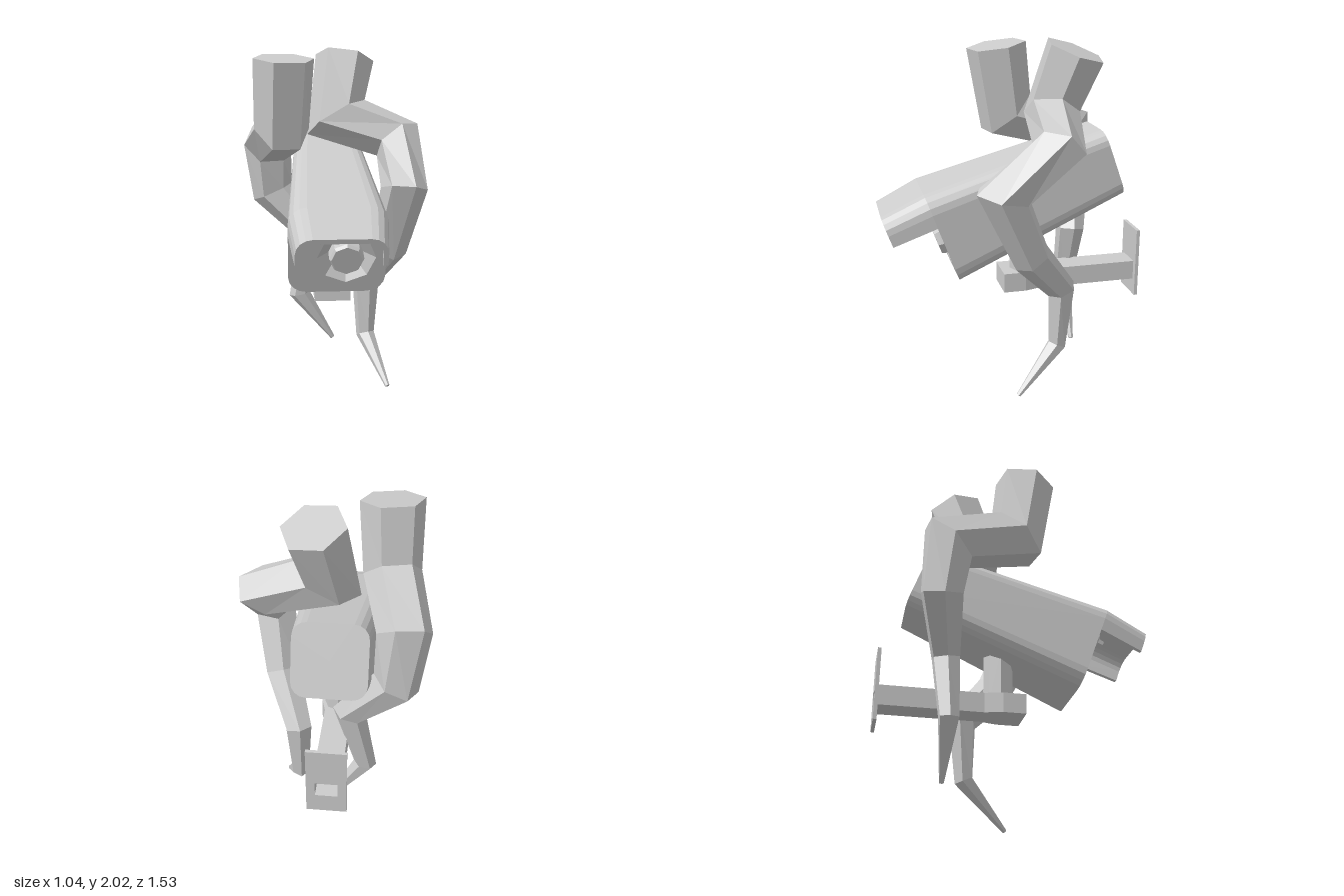
import * as THREE from 'three';

const grey = new THREE.MeshStandardMaterial({ color: 0xcccccc, flatShading: true });
const greyBoth = new THREE.MeshStandardMaterial({ color: 0xcccccc, flatShading: true, side: THREE.DoubleSide });

function add(parent, name, geometry, material = grey) {
  const mesh = new THREE.Mesh(geometry, material);
  mesh.name = name;
  parent.add(mesh);
  return mesh;
}

// Skins a list of rings (each counter-clockwise around the travel direction)
function loft(rings, capStart = true, capEnd = true) {
  const pos = [];
  const tri = (...pts) => pts.forEach((p) => pos.push(p.x, p.y, p.z));
  const n = rings[0].length;
  const centre = (ring) => ring.reduce((s, p) => s.add(p), new THREE.Vector3()).divideScalar(n);
  const first = rings[0], last = rings[rings.length - 1];
  const c0 = centre(first), c1 = centre(last);
  for (let k = 0; k < n; k++) {
    const j = (k + 1) % n;
    for (let i = 0; i < rings.length - 1; i++) {
      const a = rings[i], b = rings[i + 1];
      tri(a[k], a[j], b[k]);
      tri(a[j], b[j], b[k]);
    }
    if (capStart) tri(c0, first[j], first[k]);
    if (capEnd) tri(c1, last[k], last[j]);
  }
  const g = new THREE.BufferGeometry();
  g.setAttribute('position', new THREE.Float32BufferAttribute(pos, 3));
  g.computeVertexNormals();
  return g;
}

// Six-sided limb through joints [x, y, z, radius], mitred at the bends
function limb(joints, turn) {
  const pts = joints.map((j) => new THREE.Vector3(j[0], j[1], j[2]));
  const dirs = pts.slice(1).map((p, i) => p.clone().sub(pts[i]).normalize());
  const u = new THREE.Vector3(Math.cos(turn), 0, Math.sin(turn));
  let prev = null;
  const rings = pts.map((p, i) => {
    const a = dirs[Math.max(i - 1, 0)], b = dirs[Math.min(i, dirs.length - 1)];
    const t = a.clone().add(b).normalize();
    if (prev) u.applyQuaternion(new THREE.Quaternion().setFromUnitVectors(prev, t));
    u.addScaledVector(t, -u.dot(t)).normalize();
    prev = t;
    const w = t.clone().cross(u);
    const bend = b.clone().sub(a);
    if (bend.length() > 1e-4) bend.normalize();
    const stretch = Math.min(1 / t.dot(a), 1.4) - 1;
    return Array.from({ length: 6 }, (_, k) => {
      const ang = k * Math.PI / 3;
      const o = u.clone().multiplyScalar(Math.cos(ang)).addScaledVector(w, Math.sin(ang)).multiplyScalar(joints[i][3]);
      return o.addScaledVector(bend, o.dot(bend) * stretch).add(p);
    });
  });
  return loft(rings);
}

// Rounded rectangle outline, counter-clockwise from the right side
function roundedRect(hw, hh, r, seg = 4) {
  const out = [];
  [[1, 1], [-1, 1], [-1, -1], [1, -1]].forEach(([sx, sy], q) => {
    for (let i = 0; i <= seg; i++) {
      const a = (q + i / seg) * Math.PI / 2;
      out.push(new THREE.Vector2(sx * (hw - r) + r * Math.cos(a), sy * (hh - r) + r * Math.sin(a)));
    }
  });
  return out;
}

function rectShape(x0, y0, x1, y1) {
  return new THREE.Shape([[x0, y0], [x1, y0], [x1, y1], [x0, y1]].map((p) => new THREE.Vector2(...p)));
}

function extrude(shape, depth, z) {
  return new THREE.ExtrudeGeometry(shape, { depth, bevelEnabled: false }).translate(0, 0, z);
}

function createCameraHead() {
  const head = new THREE.Group();
  head.name = 'cameraHead';
  const L = 1.066;
  const ring = (hw, hh, r, z) => roundedRect(hw, hh, r).map((p) => new THREE.Vector3(p.x, p.y, z));
  add(head, 'housing', loft([ring(0.2, 0.2, 0.08, 0), ring(0.265, 0.27, 0.1, L)], true, false));

  // Front plate with an eight-sided opening for the lens
  const lx = 0.05, ly = -0.048, lr = 0.16;
  const face = new THREE.Shape(roundedRect(0.265, 0.27, 0.1));
  face.holes.push(new THREE.Path(Array.from({ length: 8 }, (_, k) => {
    const a = -k * Math.PI / 4;
    return new THREE.Vector2(lx + lr * Math.cos(a), ly + lr * Math.sin(a));
  })));
  add(head, 'frontPlate', new THREE.ShapeGeometry(face).translate(0, 0, L));

  // Recess dish with the lens barrel standing in it
  const profile = [[0, 0.03], [0.085, 0.03], [0.095, 0.01], [0.095, -0.06], [lr, 0]];
  const dish = new THREE.LatheGeometry(profile.map((p) => new THREE.Vector2(...p)), 8);
  add(head, 'lens', dish.rotateX(Math.PI / 2).translate(lx, ly, L), greyBoth);

  // Indicator lamp
  const lamp = new THREE.Group();
  lamp.name = 'indicatorLamp';
  lamp.position.set(-0.13, 0.08, L);
  head.add(lamp);
  add(lamp, 'lampCollar', new THREE.CylinderGeometry(0.045, 0.055, 0.02, 8).rotateX(Math.PI / 2).translate(0, 0, 0.01));
  add(lamp, 'lampBulb', new THREE.CylinderGeometry(0.022, 0.03, 0.05, 6).rotateX(Math.PI / 2).translate(0, 0, 0.03));

  // Hood: the upper outline as a thin shell, narrowing forwards
  const low = 0.092, depth = 0.262, th = 0.03;
  const arch = (hw, hh, r) => [new THREE.Vector2(hw, low),
    ...roundedRect(hw, hh, r).slice(0, 10), new THREE.Vector2(-hw, low)];
  const hood = extrude(new THREE.Shape([
    ...arch(0.265, 0.27, 0.1), ...arch(0.265 - th, 0.27 - th, 0.075).reverse(),
  ]), depth, 0);
  const p = hood.attributes.position;
  for (let i = 0; i < p.count; i++) {
    const k = 1 - 0.11 * p.getZ(i) / depth;
    p.setXY(i, p.getX(i) * k, p.getY(i) * k);
  }
  hood.computeVertexNormals();
  add(head, 'hood', hood.translate(0, 0, L));

  head.position.set(0, 1.33, -0.56);
  head.rotation.x = THREE.MathUtils.degToRad(20);
  return head;
}

function createBracket() {
  const bracket = new THREE.Group();
  bracket.name = 'wallBracket';
  const hole = () => new THREE.Path(rectShape(-0.062, 0.585, 0.062, 0.67).getPoints().reverse());
  const plate = rectShape(-0.11, 0.475, 0.11, 0.89);
  plate.holes.push(hole());
  add(bracket, 'wallPlate', extrude(plate, 0.02, -0.762));
  const tube = rectShape(-0.077, 0.57, 0.077, 0.685);
  tube.holes.push(hole());
  add(bracket, 'bracketArm', extrude(tube, 0.6, -0.743));

  // Widened end of the arm, extruded upwards from its plan
  const plan = new THREE.Shape([[-0.077, -0.16], [-0.105, -0.06], [-0.105, 0.07], [0.105, 0.07], [0.105, -0.06], [0.077, -0.16]]
    .map(([x, z]) => new THREE.Vector2(x, -z)));
  const end = new THREE.ExtrudeGeometry(plan, { depth: 0.115, bevelEnabled: false });
  add(bracket, 'armEnd', end.rotateX(-Math.PI / 2).translate(0, 0.57, 0));
  add(bracket, 'mountPost', new THREE.CylinderGeometry(0.085, 0.085, 0.3, 8).translate(0, 0.81, -0.07));
  return bracket;
}

export function createModel() {
  const model = new THREE.Group();
  model.name = 'cameraWithTentacles';
  model.add(createCameraHead(), createBracket());

  // Tentacles, from the thick cut end down to the tip
  add(model, 'leftTentacle', limb([
    [0.10, 1.965, -0.335, 0.175], [0.04, 1.62, -0.22, 0.155], [0.40, 1.49, -0.16, 0.135],
    [0.40, 1.245, 0.14, 0.13], [0.34, 0.87, -0.03, 0.11], [0.225, 0.615, -0.24, 0.083],
    [0.225, 0.265, -0.22, 0.055], [0.335, 0.015, 0.04, 0.014],
  ], 0.14));
  add(model, 'rightTentacle', limb([
    [-0.27, 1.965, 0.03, 0.175], [-0.285, 1.57, -0.03, 0.16], [-0.37, 1.44, -0.43, 0.145],
    [-0.34, 1.14, -0.45, 0.125], [-0.09, 0.87, -0.385, 0.085], [-0.18, 0.49, -0.37, 0.06],
    [0.03, 0.19, -0.37, 0.014],
  ], -0.2));
  return model;
}
